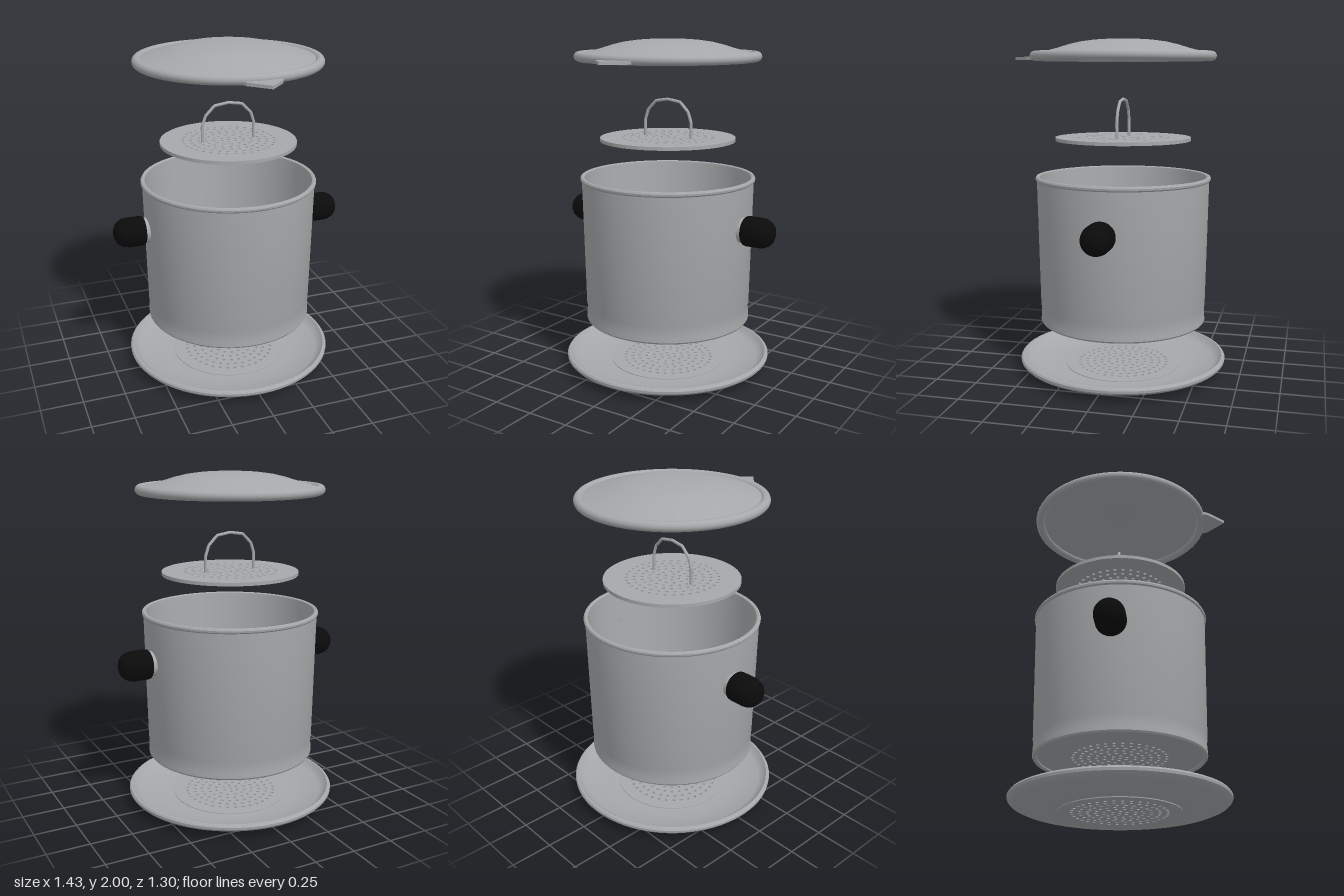
import * as THREE from 'three';
import { toCreasedNormals } from 'three/addons/utils/BufferGeometryUtils.js';

const steel = new THREE.MeshStandardMaterial({ color: 0xa6a9ab });
steel.name = 'brushed steel';
const black = new THREE.MeshStandardMaterial({ color: 0x0b0b0b });
black.name = 'black plastic';

function add(parent, name, geometry, material = steel) {
  const mesh = new THREE.Mesh(geometry, material);
  mesh.name = name;
  parent.add(mesh);
  return mesh;
}

// Profiles run outward along the underside, up the outside and back in on top.
function lathe(points, crease = 0.5) {
  const profile = points.map(([r, y]) => new THREE.Vector2(r, y));
  return toCreasedNormals(new THREE.LatheGeometry(profile, 72), crease);
}

// Flat disc pierced by a centre hole and concentric rings of holes.
function perforatedDisc(radius, bottom, thickness, spacing = 0.045) {
  const shape = new THREE.Shape().absarc(0, 0, radius, 0, Math.PI * 2);
  const pierce = (x, y) => shape.holes.push(new THREE.Path().absarc(x, y, 0.01, 0, Math.PI * 2, true));
  pierce(0, 0);
  for (let ring = 1; ring <= 6; ring++) {
    for (let i = 0; i < ring * 6; i++) {
      const a = (i / (ring * 6)) * Math.PI * 2 + ring * 0.2;
      pierce(Math.cos(a) * ring * spacing, Math.sin(a) * ring * spacing);
    }
  }
  const geometry = new THREE.ExtrudeGeometry(shape, { depth: thickness, bevelEnabled: false, curveSegments: 36 });
  geometry.rotateX(-Math.PI / 2).translate(0, bottom, 0);
  return toCreasedNormals(geometry, 0.5);
}

function buildTray() {
  const tray = new THREE.Group();
  tray.name = 'dripTray';
  add(tray, 'trayRim', lathe([
    [0.34, 0.005], [0.43, 0.005], [0.59, 0.037], [0.615, 0.048], [0.628, 0.062],
    [0.63, 0.077], [0.622, 0.088], [0.61, 0.09], [0.602, 0.082], [0.585, 0.062],
    [0.56, 0.052], [0.43, 0.022], [0.34, 0.022], [0.34, 0.005],
  ]));
  add(tray, 'trayFloor', perforatedDisc(0.35, 0, 0.026));
  return tray;
}

function buildPot() {
  const pot = new THREE.Group();
  pot.name = 'pot';
  add(pot, 'potWall', lathe([
    [0.475, 0.312], [0.485, 0.305], [0.495, 0.305], [0.502, 0.315], [0.501, 0.34],
    [0.498, 0.395], [0.502, 0.41], [0.517, 1.165], [0.524, 1.172], [0.526, 1.183],
    [0.521, 1.193], [0.511, 1.195], [0.501, 1.19], [0.499, 1.175], [0.486, 0.41],
    [0.475, 0.33], [0.475, 0.312],
  ]));
  add(pot, 'potFloor', perforatedDisc(0.48, 0.318, 0.016));

  // Side knobs on short steel collars
  for (const side of [1, -1]) {
    const handle = new THREE.Group();
    handle.name = side > 0 ? 'leftHandle' : 'rightHandle';
    handle.position.y = 0.92;
    handle.rotation.z = -side * Math.PI / 2;
    add(handle, 'handleCollar', new THREE.CylinderGeometry(0.075, 0.075, 0.045, 32)).position.y = 0.5175;
    add(handle, 'handleKnob', lathe([
      [0, 0.53], [0.078, 0.53], [0.086, 0.538], [0.088, 0.55], [0.088, 0.63], [0.084, 0.656],
      [0.073, 0.68], [0.056, 0.698], [0.03, 0.71], [0, 0.714],
    ], 0.8), black);
    pot.add(handle);
  }
  return pot;
}

function buildPress() {
  const press = new THREE.Group();
  press.name = 'press';
  add(press, 'pressDisc', perforatedDisc(0.404, 1.405, 0.02));

  // Bent wire handle with straight runs between bends
  const half = [[0.16, 1.415], [0.16, 1.52], [0.14, 1.58], [0.085, 1.636], [0, 1.649]];
  const points = [...half.map(([x, y]) => [-x, y]), ...half.slice(0, -1).reverse()]
    .map(([x, y]) => new THREE.Vector3(x, y, 0));
  const path = new THREE.CurvePath();
  for (let i = 1; i < points.length; i++) path.add(new THREE.LineCurve3(points[i - 1], points[i]));
  add(press, 'pressHandle', new THREE.TubeGeometry(path, 64, 0.009, 12));
  return press;
}

function buildLid() {
  const lid = new THREE.Group();
  lid.name = 'lid';
  add(lid, 'lidDome', lathe([
    [0, 1.988], [0.14, 1.983], [0.27, 1.965], [0.39, 1.932], [0.47, 1.903], [0.51, 1.893],
    [0.51, 1.912], [0.47, 1.925], [0.39, 1.946], [0.33, 1.965], [0.26, 1.982], [0.18, 1.993],
    [0.09, 1.999], [0, 2],
  ]));
  const rim = new THREE.TorusGeometry(0.52, 0.028, 20, 72);
  add(lid, 'lidRim', rim.rotateX(Math.PI / 2).translate(0, 1.9, 0));

  // Pointed finger tab at the front
  const tab = new THREE.Shape([[-0.11, 0.5], [0.11, 0.5], [0.11, 0.54], [0.1, 0.565], [0, 0.672], [-0.1, 0.565], [-0.11, 0.54]]
    .map(([x, z]) => new THREE.Vector2(x, z)));
  const tabGeometry = new THREE.ExtrudeGeometry(tab, { depth: 0.018, bevelEnabled: false });
  add(lid, 'lidTab', tabGeometry.rotateX(Math.PI / 2).translate(0, 1.897, 0));
  return lid;
}

export function createModel() {
  const model = new THREE.Group();
  model.name = 'dripCoffeeFilter';
  const stack = new THREE.Group();
  stack.name = 'explodedStack';
  stack.position.z = -0.022;
  stack.add(buildTray(), buildPot(), buildPress(), buildLid());
  model.add(stack);
  return model;
}
